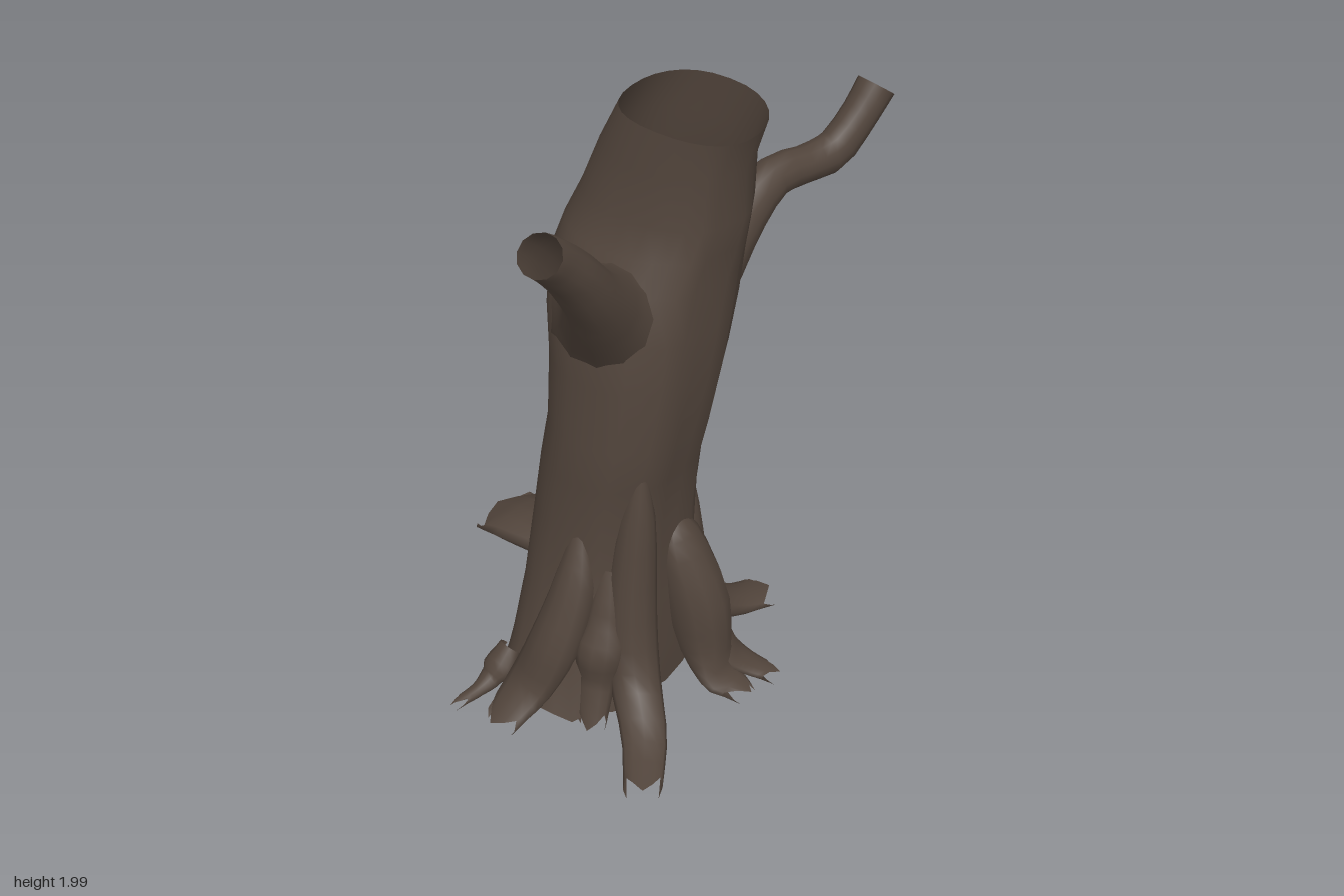
import * as THREE from 'three';

const bark = new THREE.MeshStandardMaterial({ color: 0x51443b, side: THREE.DoubleSide });
bark.name = 'dark bark';

// Skin a list of vertex rings; closed rings share their seam so shading stays smooth.
function skin(rings, closed) {
  const n = rings[0].length, pos = [], idx = [];
  rings.forEach(r => r.forEach(p => pos.push(p.x, p.y, p.z)));
  for (let i = 0; i < rings.length - 1; i++) {
    for (let j = 0; j < (closed ? n : n - 1); j++) {
      const k = (j + 1) % n, a = i * n + j, b = i * n + k, c = a + n, d = b + n;
      idx.push(a, b, c, b, d, c);
    }
  }
  const g = new THREE.BufferGeometry();
  g.setAttribute('position', new THREE.Float32BufferAttribute(pos, 3));
  g.setIndex(idx);
  g.computeVertexNormals();
  return g;
}

// Sweep an ellipse along points [x, y, z, halfWidth, halfHeight].
// Roots use an arch open underneath, with ragged toes at the end.
function sweep(points, { steps, sides, root }) {
  const path = new THREE.CatmullRomCurve3(points.map(p => new THREE.Vector3(p[0], p[1], p[2])));
  const size = new THREE.CatmullRomCurve3(points.map(p => new THREE.Vector3(p[3], p[4], 0)));
  const first = path.points[0], last = path.points[points.length - 1];
  const side = new THREE.Vector3(last.z - first.z, 0, first.x - last.x).normalize();
  const from = root ? -0.2 * Math.PI : 0, span = root ? 1.4 * Math.PI : 2 * Math.PI;
  const rings = [];
  for (let i = 0; i <= steps; i++) {
    const t = i / steps, p = path.getPoint(t), s = size.getPoint(t);
    const tan = path.getTangent(t), up = new THREE.Vector3().crossVectors(tan, side).normalize();
    const ring = [];
    for (let j = 0; j < (root ? sides + 1 : sides); j++) {
      const a = from + span * j / sides;
      const v = p.clone().addScaledVector(side, s.x * Math.cos(a)).addScaledVector(up, s.y * Math.sin(a));
      if (root) {
        if (i === steps) v.addScaledVector(tan, 0.03 * Math.cos(j * 1.6));
        v.y = Math.max(v.y, 0.005 + 0.02 * (j % 2));
      }
      ring.push(v);
    }
    rings.push(ring);
  }
  return skin(rings, !root);
}

// Trunk levels: y, xMin, xMax, zMin, zMax
const LEVELS = [
  [0.06, -0.70, 0.01, -0.14, 0.36],
  [0.20, -0.63, 0.00, -0.13, 0.36],
  [0.40, -0.57, -0.02, -0.115, 0.35],
  [0.65, -0.53, -0.01, -0.12, 0.34],
  [0.85, -0.53, -0.01, -0.09, 0.36],
  [1.00, -0.52, 0.00, -0.07, 0.39],
  [1.20, -0.49, 0.05, -0.09, 0.41],
  [1.36, -0.48, 0.09, -0.11, 0.42],
  [1.50, -0.43, 0.115, -0.13, 0.42],
  [1.60, -0.37, 0.10, -0.11, 0.435],
  [1.70, -0.325, 0.08, -0.07, 0.45],
  [1.86, -0.305, 0.08, -0.01, 0.45],
  [1.99, -0.29, 0.08, 0.05, 0.48],
];

function trunkGeometry() {
  const n = 28;
  const rings = LEVELS.map(([y, x0, x1, z0, z1], i) => {
    const ring = [];
    for (let j = 0; j < n; j++) {
      const a = j / n * Math.PI * 2, c = Math.cos(a), s = -Math.sin(a);
      // front side carries the bark grooves, fading out at the broken top
      const groove = 1 + 0.035 * Math.sin(9 * a + y * 1.5) * Math.max(0, s) * Math.min(1, (2 - y) * 3);
      // the foot flares into a corner at the back and is rounder in front
      const e = y < 0.5 ? (s < 0 ? 0.68 : 0.95) : 0.88;
      const x = Math.sign(c) * Math.abs(c) ** e * groove;
      const z = Math.sign(s) * Math.abs(s) ** e * groove;
      let h = y;
      if (i === 0) h += 0.02 * Math.sin(j * 2.3);
      if (i === LEVELS.length - 1) h += 0.008 * Math.cos(a * 2) - 0.008 * s;
      ring.push(new THREE.Vector3((x0 + x1) / 2 + x * (x1 - x0) / 2, h, (z0 + z1) / 2 + z * (z1 - z0) / 2));
    }
    return ring;
  });
  return skin(rings, true);
}

const BRANCHES = {
  leftBranch: [
    [-0.10, 1.17, 0.13, 0.19, 0.18], [0.04, 1.19, 0.115, 0.16, 0.165], [0.17, 1.25, 0.13, 0.115, 0.13],
    [0.30, 1.38, 0.17, 0.08, 0.09], [0.43, 1.465, 0.20, 0.065, 0.07], [0.56, 1.465, 0.24, 0.06, 0.06],
    [0.66, 1.475, 0.275, 0.06, 0.07], [0.75, 1.57, 0.31, 0.06, 0.06], [0.815, 1.655, 0.33, 0.065, 0.06],
  ],
  rightBranch: [
    [-0.18, 1.25, 0.10, 0.23, 0.24], [-0.33, 1.375, 0.145, 0.20, 0.20], [-0.46, 1.475, 0.20, 0.13, 0.135],
    [-0.59, 1.61, 0.26, 0.09, 0.09], [-0.71, 1.76, 0.28, 0.08, 0.075], [-0.79, 1.845, 0.285, 0.07, 0.07],
    [-0.86, 1.905, 0.29, 0.065, 0.065],
  ],
};

const ROOTS = {
  frontRoot: [
    [-0.24, 0.63, 0.31, 0.03, 0.02], [-0.24, 0.55, 0.33, 0.08, 0.06], [-0.23, 0.33, 0.39, 0.10, 0.10],
    [-0.23, 0.16, 0.43, 0.09, 0.08], [-0.25, 0.07, 0.50, 0.08, 0.03], [-0.24, 0.04, 0.57, 0.05, 0.02],
  ],
  frontRootToe: [
    [-0.19, 0.20, 0.42, 0.06, 0.05], [-0.17, 0.10, 0.47, 0.07, 0.04], [-0.14, 0.06, 0.53, 0.055, 0.02],
    [-0.11, 0.03, 0.59, 0.04, 0.02],
  ],
  leftRoot: [
    [-0.08, 0.67, 0.24, 0.02, 0.02], [-0.08, 0.52, 0.235, 0.06, 0.05], [-0.07, 0.27, 0.25, 0.075, 0.07],
    [-0.01, 0.13, 0.29, 0.08, 0.06], [0.07, 0.08, 0.335, 0.07, 0.04], [0.17, 0.06, 0.375, 0.075, 0.02],
  ],
  longFrontRoot: [
    [-0.42, 0.90, 0.31, 0.02, 0.02], [-0.43, 0.70, 0.30, 0.06, 0.06], [-0.46, 0.40, 0.30, 0.08, 0.08],
    [-0.51, 0.18, 0.35, 0.08, 0.07], [-0.63, 0.08, 0.47, 0.07, 0.035], [-0.78, 0.05, 0.57, 0.06, 0.025],
  ],
  rightRoot: [
    [-0.50, 0.66, 0.14, 0.03, 0.02], [-0.54, 0.50, 0.15, 0.07, 0.06], [-0.62, 0.28, 0.12, 0.09, 0.07],
    [-0.68, 0.13, 0.07, 0.09, 0.05], [-0.79, 0.05, 0.04, 0.07, 0.03],
  ],
  smallRightRoot: [
    [-0.49, 0.55, 0.24, 0.03, 0.02], [-0.53, 0.36, 0.25, 0.06, 0.05], [-0.57, 0.18, 0.25, 0.06, 0.05],
    [-0.63, 0.05, 0.27, 0.05, 0.03],
  ],
  backRightRoot: [
    [-0.62, 0.18, -0.05, 0.04, 0.03], [-0.69, 0.10, -0.07, 0.04, 0.03], [-0.75, 0.08, -0.08, 0.025, 0.02],
    [-0.82, 0.07, -0.10, 0.02, 0.015],
  ],
  backRoot: [
    [-0.05, 0.43, 0.02, 0.03, 0.03], [-0.04, 0.28, -0.01, 0.09, 0.08], [-0.03, 0.12, -0.11, 0.13, 0.10],
    [0.015, 0.075, -0.25, 0.115, 0.07], [-0.015, 0.075, -0.38, 0.09, 0.055], [0.01, 0.07, -0.49, 0.12, 0.05],
    [0.035, 0.05, -0.585, 0.13, 0.02],
  ],
};

export function createModel() {
  const tree = new THREE.Group();
  tree.name = 'deadTree';
  const add = (name, geometry) => {
    const mesh = new THREE.Mesh(geometry, bark);
    mesh.name = name;
    tree.add(mesh);
  };
  add('hollowTrunk', trunkGeometry());
  for (const [name, pts] of Object.entries(BRANCHES)) add(name, sweep(pts, { steps: 18, sides: 12, root: false }));
  for (const [name, pts] of Object.entries(ROOTS)) add(name, sweep(pts, { steps: 12, sides: 8, root: true }));
  return tree;
}
